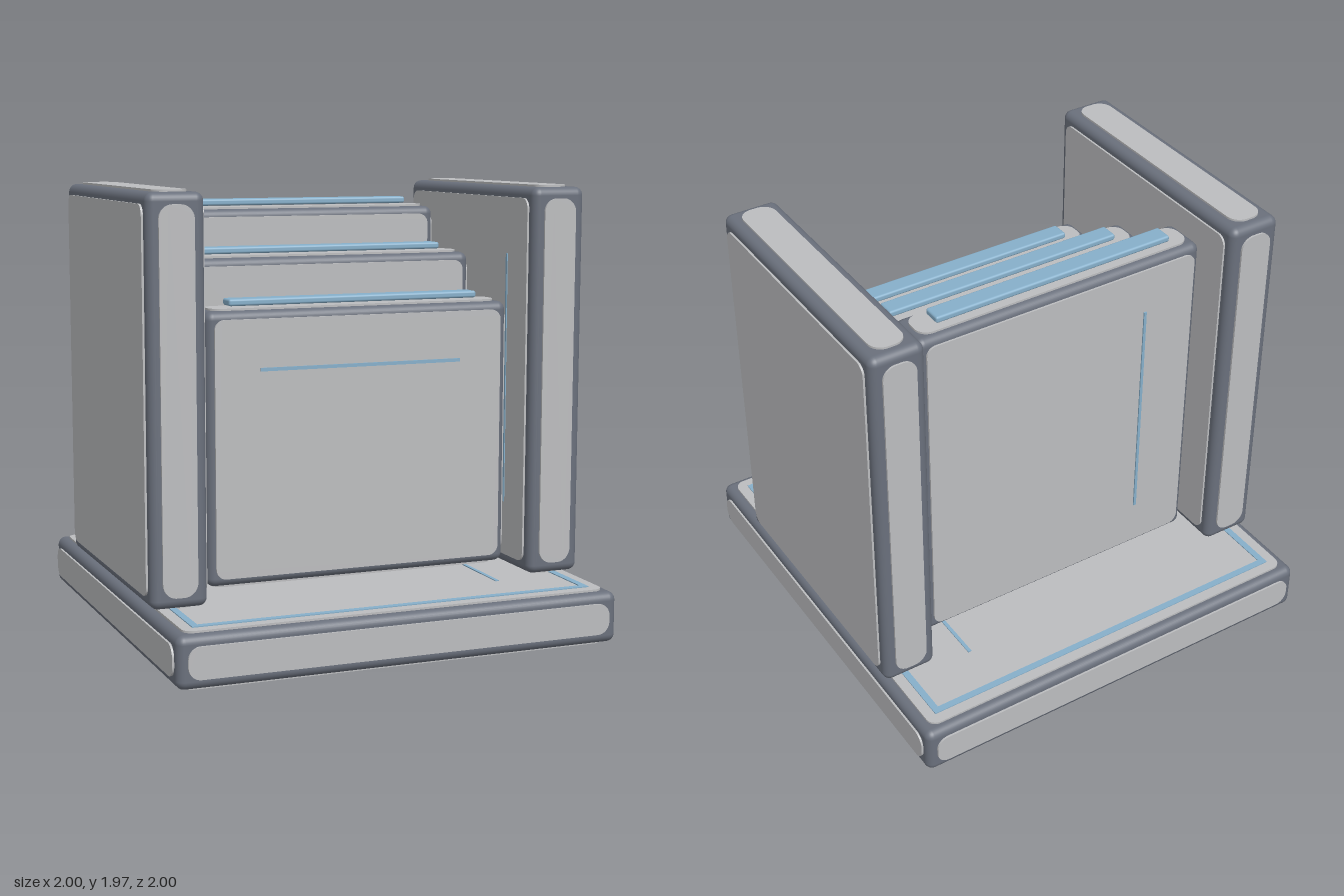
import * as THREE from 'three';
import { RoundedBoxGeometry } from 'three/addons/geometries/RoundedBoxGeometry.js';

const material = (name, color) => {
  const m = new THREE.MeshStandardMaterial({ color });
  m.name = name;
  return m;
};

export function createModel() {
  const rimGrey = material('slate rim', 0x6a707c);
  const panelGrey = material('light grey panel', 0xbcbdbf);
  const blue = material('soft blue inlay', 0x86afca);
  const OUT = 0.009; // how far face plates stand proud of a slab

  const model = new THREE.Group();
  model.name = 'dividerRack';

  function add(parent, name, geometry, mat, x, y, z) {
    const mesh = new THREE.Mesh(geometry, mat);
    mesh.name = name;
    mesh.position.set(x, y, z);
    parent.add(mesh);
    return mesh;
  }

  const bar = (parent, name, w, h, d, x, y, z) =>
    add(parent, name, new THREE.BoxGeometry(w, h, d), blue, x, y, z);

  // Thin plate with rounded corners, facing +z
  function plateGeometry(w, h) {
    const small = Math.min(w, h);
    const r = small < 0.4 ? small * 0.4 : 0.045;
    const a = w / 2, b = h / 2;
    const s = new THREE.Shape();
    s.moveTo(-a + r, -b);
    s.lineTo(a - r, -b);
    s.absarc(a - r, -b + r, r, -Math.PI / 2, 0);
    s.lineTo(a, b - r);
    s.absarc(a - r, b - r, r, 0, Math.PI / 2);
    s.lineTo(-a + r, b);
    s.absarc(-a + r, b - r, r, Math.PI / 2, Math.PI);
    s.lineTo(-a, -b + r);
    s.absarc(-a + r, -b + r, r, Math.PI, Math.PI * 1.5);
    return new THREE.ExtrudeGeometry(s, { depth: OUT, bevelEnabled: false, curveSegments: 8 });
  }

  // Rounded slab with a light plate on each of its six faces
  function slab(name, w, h, d, x, y, z, inset) {
    const g = new THREE.Group();
    g.name = name;
    g.position.set(x, y, z);
    add(g, name + 'Rim', new RoundedBoxGeometry(w, h, d, 4, 0.036), rimGrey, 0, 0, 0);
    const pw = w - 2 * inset, ph = h - 2 * inset, pd = d - 2 * inset;
    const q = Math.PI / 2;
    const faces = [
      ['Front', pw, ph, 0, 0, 0, 0, d / 2],
      ['Back', pw, ph, 0, Math.PI, 0, 0, -d / 2],
      ['Left', pd, ph, 0, q, w / 2, 0, 0],
      ['Right', pd, ph, 0, -q, -w / 2, 0, 0],
      ['Top', pw, pd, -q, 0, 0, h / 2, 0],
      ['Bottom', pw, pd, q, 0, 0, -h / 2, 0],
    ];
    for (const [side, u, v, rx, ry, px, py, pz] of faces) {
      const plate = add(g, name + side + 'Panel', plateGeometry(u, v), panelGrey, px, py, pz);
      plate.rotation.set(rx, ry, 0);
    }
    model.add(g);
    return g;
  }

  // Base with an inlaid blue border and one floor line
  slab('base', 1.982, 0.222, 1.982, 0, 0.12, 0, 0.043);
  for (const s of [-1, 1]) {
    bar(model, 'baseBorder', 1.8, 0.006, 0.03, 0, 0.241, s * 0.885);
    bar(model, 'baseBorder', 0.03, 0.006, 1.74, s * 0.885, 0.241, 0);
  }
  bar(model, 'floorLine', 0.016, 0.006, 1.32, 0.58, 0.241, 0);

  // Side walls with a vertical line on the inner face
  for (const s of [-1, 1]) {
    slab(s > 0 ? 'leftWall' : 'rightWall', 0.247, 1.707, 1.282, s * 0.8675, 1.103, 0, 0.048);
    bar(model, 'wallLine', 0.006, 1.12, 0.012, s * 0.734, 1.1, s * 0.41);
  }

  // Three stepped dividers, each topped with a blue strip
  [[0.385, 1.455], [0, 1.648], [-0.387, 1.843]].forEach(([z, top], i) => {
    const bottom = 0.285, h = top - bottom, mid = (top + bottom) / 2, depth = 0.208;
    slab('divider', 1.392, h, depth, 0, mid, z, 0.034);
    add(model, 'dividerStrip', new RoundedBoxGeometry(1.15, 0.03, 0.086, 2, 0.01), blue, 0, top + 0.03, z);
    for (const s of [-1, 1]) {
      const face = z + s * (depth / 2 + OUT + 0.002);
      if (i < 2) bar(model, 'dividerLine', 0.925, 0.015, 0.008, 0, top - 0.248, face);
      else bar(model, 'dividerLine', 0.013, 1.07, 0.008, s * 0.41, mid, face);
    }
  });

  return model;
}
